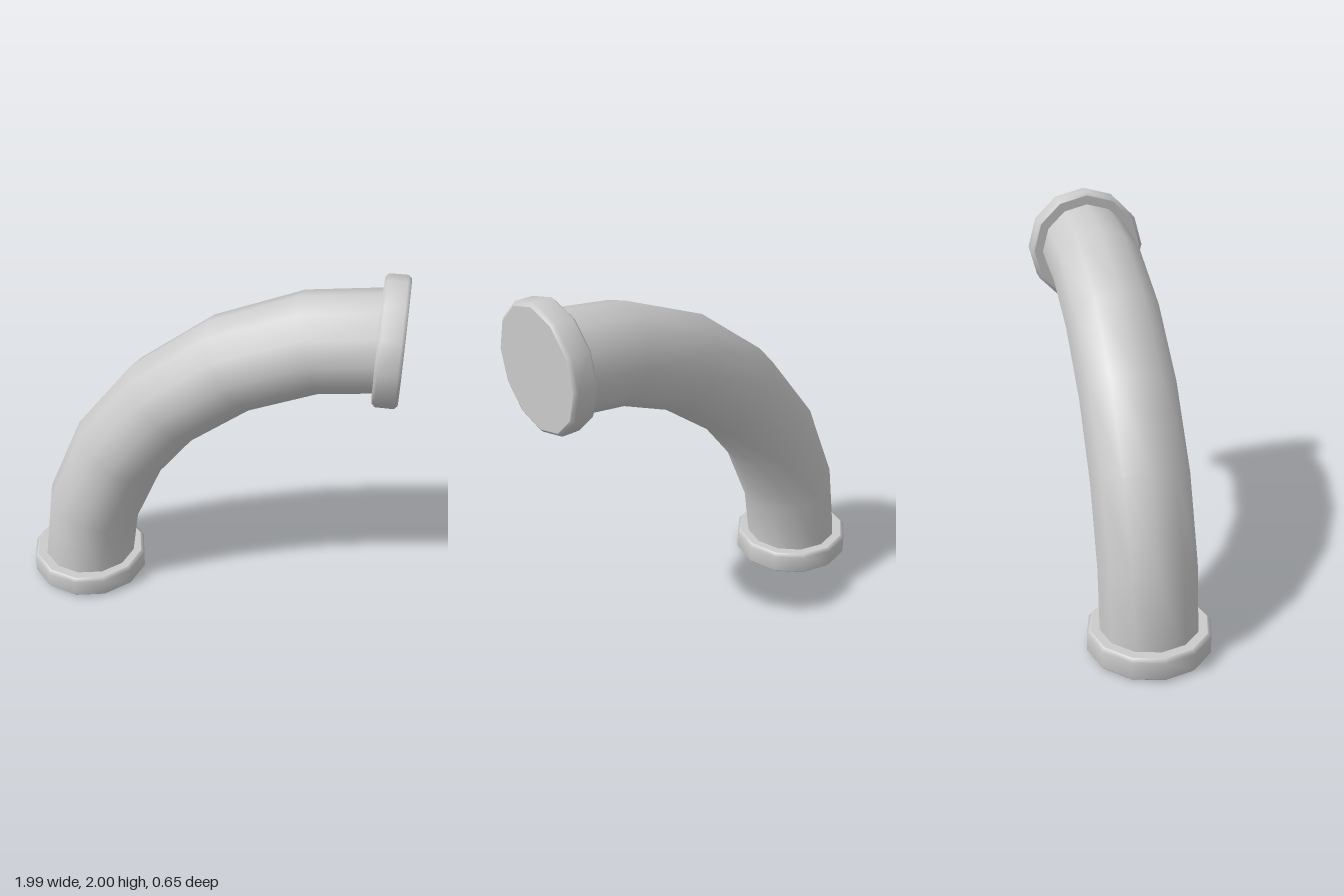
import * as THREE from 'three';

export function createModel() {
  const group = new THREE.Group();
  group.name = 'pipeElbow';
  const material = new THREE.MeshStandardMaterial({ color: 0xcccccc });

  // Quarter bend, 12 sides round and 6 segments long; its ends sit inside the flanges
  const bend = new THREE.TorusGeometry(1.656, 0.258, 12, 6, Math.PI / 2);
  bend.rotateZ(Math.PI / 2);
  const pipe = new THREE.Mesh(bend, material);
  pipe.name = 'bentPipe';
  pipe.position.set(0.976, 0.03, 0);
  group.add(pipe);

  // Flange disc with chamfered rims; the doubled rim points keep the caps flat
  const R = 0.325, H = 0.127, C = 0.017;
  const profile = [
    [0, 0], [R - C - 0.004, 0], [R - C, 0], [R, C],
    [R, H - C], [R - C, H], [R - C - 0.004, H], [0, H],
  ].map(([x, y]) => new THREE.Vector2(x, y));
  const disc = new THREE.LatheGeometry(profile, 12);

  function addFlange(name, x, y, turn) {
    const flange = new THREE.Mesh(disc, material);
    flange.name = name;
    flange.position.set(x, y, 0);
    flange.rotation.z = turn;
    group.add(flange);
  }
  addFlange('bottomFlange', -0.67, 0.004, 0);
  addFlange('sideFlange', 0.995 - H, 1.675, -Math.PI / 2);

  return group;
}
